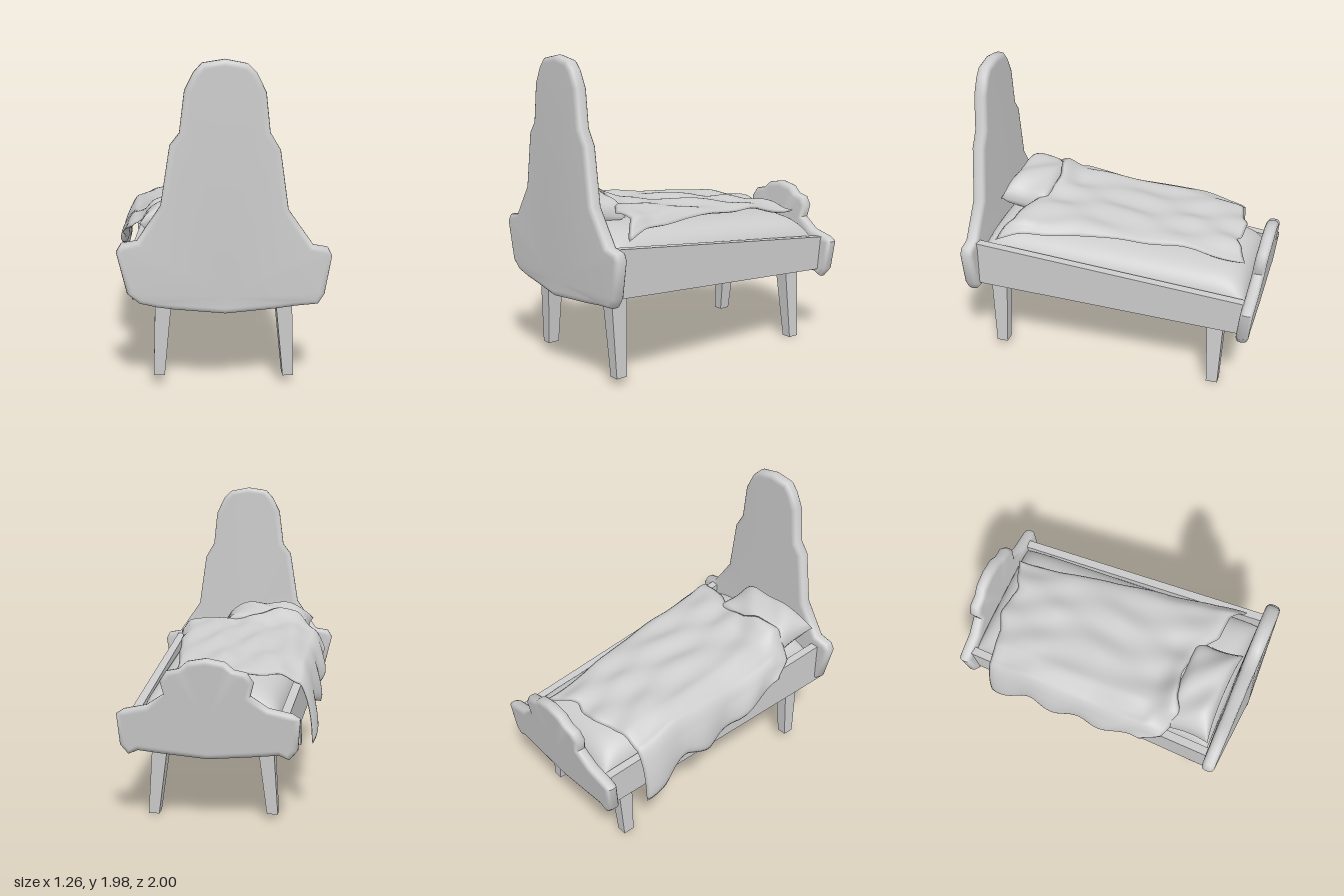
import * as THREE from 'three';
import { mergeVertices, toCreasedNormals } from 'three/addons/utils/BufferGeometryUtils.js';

const { lerp, smoothstep } = THREE.MathUtils;
const material = new THREE.MeshStandardMaterial({ color: 0xcccccc, side: THREE.DoubleSide });
const bump = (d, width) => Math.exp(-((d / width) ** 2));

// Move every vertex of a geometry by a rule
function reshape(geo, rule) {
  const p = geo.attributes.position;
  for (let i = 0; i < p.count; i++) p.setXYZ(i, ...rule(p.getX(i), p.getY(i), p.getZ(i)));
  geo.computeVertexNormals();
  return geo;
}

// Smooth surface from a function of u and v, with its seams welded
function surface(nu, nv, fn) {
  const geo = reshape(new THREE.PlaneGeometry(1, 1, nu, nv), (x, y) => fn(x + 0.5, y + 0.5));
  geo.deleteAttribute('normal');
  geo.deleteAttribute('uv');
  const welded = mergeVertices(geo, 1e-4);
  welded.computeVertexNormals();
  return welded;
}

// Softened piecewise lookup in a list of [key, value]
function lookup(table, k) {
  if (k <= table[0][0]) return table[0][1];
  for (let i = 1; i < table.length; i++) {
    const [a, va] = table[i - 1], [b, vb] = table[i];
    if (k <= b) return lerp(va, vb, smoothstep(k, a, b) * 0.5 + (k - a) / (b - a) * 0.5);
  }
  return table[table.length - 1][1];
}

// Board with a rounded rim: inset rings of the outline, each face fanned to an apex
function board(outline, z0, z1, backApex, frontApex) {
  const n = outline.length, pos = [], index = [];
  const rim = [[0.038, 0], [0.028, 0], [0.014, 0.005], [0.004, 0.015], [0, 0.03]];
  const rings = [...rim.map(([inset, d]) => [inset, z0 + d]),
    ...rim.map(([inset, d]) => [inset, z1 - d]).reverse()];
  for (const [inset, z] of rings) {
    outline.forEach(([x, y], i) => {
      const a = outline[(i + n - 1) % n], b = outline[(i + 1) % n];
      const tx = b[0] - a[0], ty = b[1] - a[1], len = Math.hypot(tx, ty);
      pos.push(x - ty / len * inset, y + tx / len * inset, z);
    });
  }
  pos.push(...backApex, ...frontApex);
  const last = (rings.length - 1) * n, back = rings.length * n;
  for (let i = 0; i < n; i++) {
    const k = (i + 1) % n;
    for (let j = 0; j < last; j += n) index.push(j + i, j + k, j + n + k, j + i, j + n + k, j + n + i);
    index.push(k, i, back, last + i, last + k, back + 1);
  }
  const geo = new THREE.BufferGeometry();
  geo.setAttribute('position', new THREE.Float32BufferAttribute(pos, 3));
  geo.setIndex(index);
  return geo;
}

export function createModel() {
  const bed = new THREE.Group();
  bed.name = 'bed';
  const add = (name, geo) => {
    const mesh = new THREE.Mesh(geo, material);
    mesh.name = name;
    bed.add(mesh);
    return mesh;
  };

  // Tall headboard, its outer face swelling to a ridge at the bottom centre
  const head = [[0, 0.505], [0.3, 0.515], [0.42, 0.53], [0.55, 0.54], [0.59, 0.6], [0.63, 0.83],
    [0.605, 0.88], [0.52, 0.895], [0.37, 1.11], [0.32, 1.46], [0.26, 1.56], [0.235, 1.79],
    [0.18, 1.9], [0.13, 1.95], [0, 1.975], [-0.13, 1.955], [-0.18, 1.9], [-0.23, 1.8],
    [-0.26, 1.56], [-0.315, 1.49], [-0.37, 1.14], [-0.51, 0.935], [-0.6, 0.92], [-0.63, 0.87],
    [-0.57, 0.62], [-0.5, 0.56], [-0.4, 0.535], [-0.3, 0.52]];
  const headGeo = reshape(board(head, 0.87, 0.955, [0, 0.9, 0.855], [0, 0.61, 0.953]),
    (x, y, z) => [x, y, Math.abs(x) < 0.01 && y < 0.65 && z > 0.9 ? z + 0.045 : z]);
  add('headboard', toCreasedNormals(headGeo, 1));

  // Leaning footboard with three lobes on top
  const half = [[0.28, 0.43], [0.42, 0.445], [0.48, 0.42], [0.53, 0.48], [0.545, 0.67], [0.5, 0.7],
    [0.36, 0.73], [0.255, 0.8], [0.275, 0.88], [0.235, 0.94], [0.16, 0.955], [0.11, 1.0]];
  const foot = [[0, 0.405], ...half, [0, 1.02], ...half.map(([x, y]) => [-x, y]).reverse()];
  const footGeo = reshape(board(foot, -0.04, 0.04, [0, 0.64, -0.04], [0, 0.64, 0.04]),
    (x, y, z) => [x, y, z - 0.885 - (y - 0.41) * 0.122]);
  add('footboard', toCreasedNormals(footGeo, 1));

  // Side rails, closing in and dropping towards the foot
  for (const side of [1, -1]) {
    add(side > 0 ? 'leftRail' : 'rightRail', reshape(new THREE.BoxGeometry(1, 1, 1), (x, y, z) => {
      const t = 0.5 - z;
      const mid = side > 0 ? lerp(0.507, 0.432, t) : lerp(-0.515, -0.452, t);
      return [mid + x * 0.055, y > 0 ? lerp(0.885, 0.69, t) : lerp(0.585, 0.465, t), lerp(0.93, -0.92, t)];
    }));
  }

  // Tapered, splayed legs: [side, foot y, top y, foot x, top x, z, name]
  const legs = [[1, 0.05, 0.72, 0.394, 0.348, 0.785, 'frontLeftLeg'],
    [-1, 0.07, 0.72, 0.388, 0.348, 0.785, 'frontRightLeg'],
    [1, 0, 0.66, 0.368, 0.3, -0.695, 'backLeftLeg'], [-1, 0.03, 0.66, 0.365, 0.305, -0.695, 'backRightLeg']];
  for (const [side, footY, topY, footX, topX, z0, name] of legs) {
    add(name, reshape(new THREE.BoxGeometry(1, 1, 1), (x, y, z) => y > 0
      ? [side * topX + x * 0.11, topY, z0 + z * 0.125]
      : [side * footX + x * 0.066, footY, z0 + z * 0.075]));
  }

  // Mattress: a domed shell with steep soft edges, following the rails
  add('mattress', surface(40, 48, (u, v) => {
    const s = -Math.sin((u - 0.5) * Math.PI), t = Math.sin((v - 0.5) * Math.PI);
    const z = t * 0.87 - 0.01;
    const dome = Math.sqrt(Math.max(0, (1 - s ** 4) * (1 - t ** 12)));
    return [s * (0.442 + z * 0.037) - 0.005, 0.705 + z * 0.08 + 0.2 * dome, z];
  }));

  // Plump pillow: pinched corners, leaning up at the headboard
  const pillow = add('pillow', surface(48, 28, (u, v) => {
    const under = u > 0.5, s = (under ? 2 - 2 * u : 2 * u) * 2 - 1, t = v * 2 - 1;
    const puff = Math.pow(Math.max(0, (1 - s ** 4) * (1 - t ** 4)), 0.4);
    const x = s * 0.32 * (1 - 0.06 * (1 - t * t)), z = -t * 0.155 * (1 - 0.1 * (1 - s * s) * (t > 0 ? 0 : 1));
    const dent = 0.012 * Math.sin(s * 6 + t * 3) - 0.03 * s * s;
    return [x, (under ? -0.09 : 0.1 + dent) * puff - 0.045 * s ** 4, z];
  }));
  pillow.position.set(-0.175, 1.035, 0.69);
  pillow.rotation.x = -0.18;

  // Blanket outline: foot hem, head hem, left edge, hanging hem height, top line
  const footHem = [[-0.6, -0.7], [-0.45, -0.71], [-0.3, -0.73], [-0.18, -0.78], [-0.05, -0.77], [0.02, -0.75], [0.12, -0.8], [0.23, -0.84]];
  const headHem = [[-0.61, 0.42], [-0.55, 0.56], [-0.48, 0.59], [-0.4, 0.62], [-0.3, 0.56], [-0.15, 0.53], [0, 0.55], [0.1, 0.6], [0.2, 0.66], [0.36, 0.67], [0.48, 0.76]];
  const leftEdge = [[0, 0.23], [0.2, 0.245], [0.45, 0.31], [0.7, 0.37], [0.88, 0.43], [1, 0.485]];
  const hangHem = [[0, 0.47], [0.12, 0.52], [0.3, 0.66], [0.45, 0.62], [0.65, 0.7], [0.85, 0.76], [1, 0.86]];
  const ridge = [[-0.84, 0.88], [-0.4, 0.945], [0, 0.985], [0.4, 1.015], [0.6, 1.03], [0.77, 1.0]];

  // Blanket: a closed two-layer sheet, thinning at the hems and hanging over the right rail
  add('blanket', surface(140, 70, (w, v) => {
    const under = w > 0.5, u = under ? 2 - 2 * w : 2 * w;
    const edgeX = lookup(leftEdge, v), fold = 0.74;
    const t = Math.max(0, (u - fold) / (1 - fold));
    const flatX = lerp(edgeX, -0.52, Math.min(1, u / fold));
    let x = flatX - 0.08 * Math.sin(t * Math.PI / 2);
    const z = lerp(lookup(footHem, x), lookup(headHem, x), v);
    const droop = 0.025 * bump(flatX - edgeX, 0.1) + 0.08 * v ** 3 * bump(flatX - edgeX, 0.05)
      + 0.05 * smoothstep(-flatX, 0.38, 0.54)
      + 0.06 * smoothstep(v, 0.88, 1) * smoothstep(-flatX, 0.4, 0.5);
    const overPillow = 0.1 * bump(x + 0.28, 0.22) * bump(z - 0.56, 0.1);
    const wrinkle = 0.008 * Math.sin(9 * z + 14 * x + 2 * Math.sin(5 * x))
      + 0.007 * Math.sin(26 * x - 7 * z + Math.sin(6 * z)) * (1 - t);
    const top = lookup(ridge, z) - droop + overPillow + wrinkle;
    let y = lerp(top, lookup(hangHem, v), Math.pow(t, 1.35));
    x -= t * 0.018 * Math.sin(v * 19);
    const thick = (under ? -0.016 : 0.014)
      * Math.sqrt(Math.min(1, u * 30, (1 - u) * 30, v * 25, (1 - v) * 25));
    const bend = Math.min(1, t * 2.5) * Math.PI / 2;
    x -= thick * Math.sin(bend);
    y += thick * Math.cos(bend);
    return [x, y, z];
  }));

  return bed;
}
